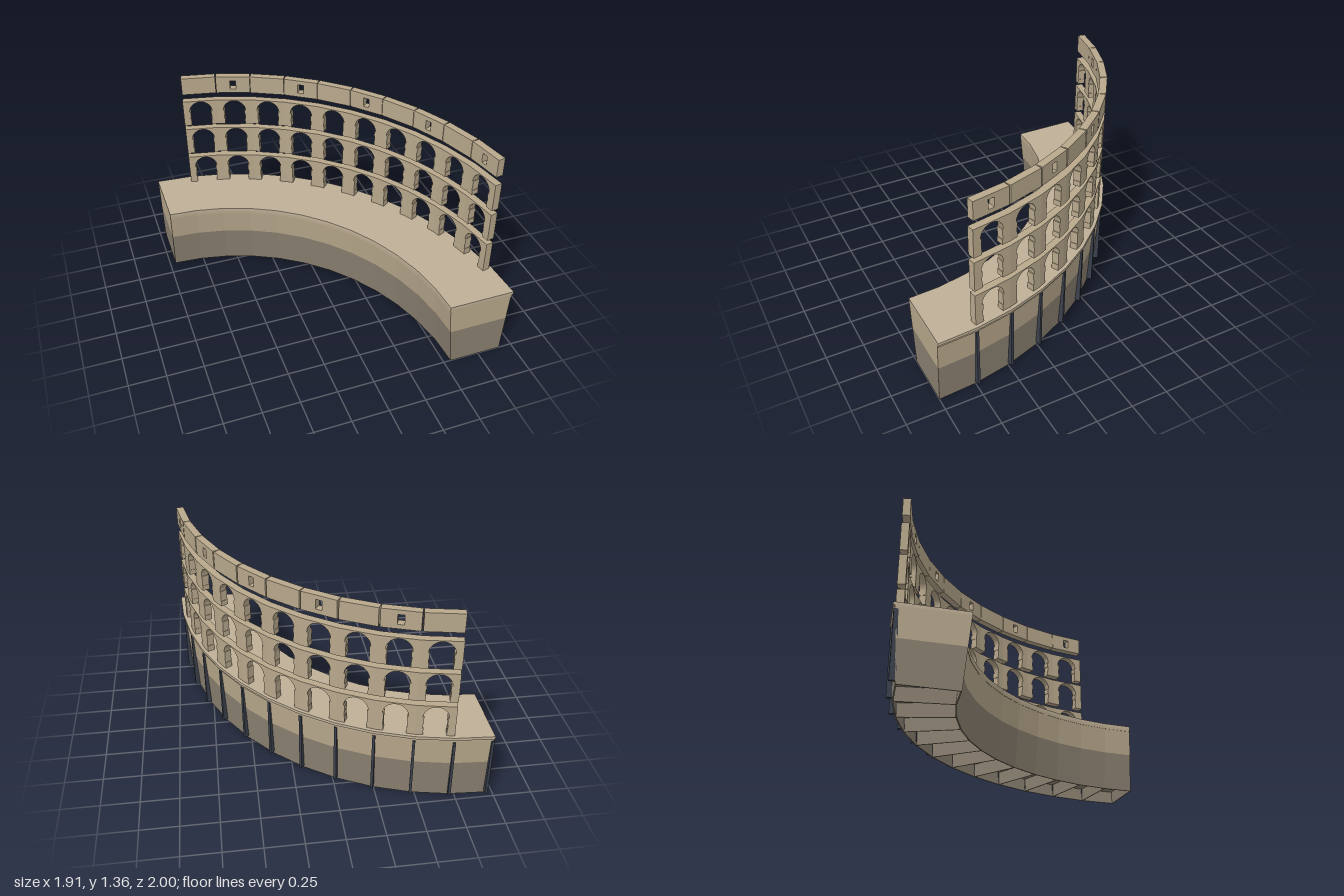
import * as THREE from 'three';

const STEP = Math.PI / 24;            // one bay: twelve bays fill the quarter
const CX = -0.96, CZ = 1, STRETCH = 0.09;

const mat = (color) => new THREE.MeshStandardMaterial({ color, flatShading: true, side: THREE.DoubleSide });
const stone = mat(0xb8a88c), darkStone = mat(0x8a8070), paleStone = mat(0xbfb097), iron = mat(0x3a404c);

// Point on the oval plan, angle 0 at the right end
const plan = (r, t, y) => [CX + r * Math.cos(t), y, CZ - (r + STRETCH) * Math.sin(t)];

// Sweep a counter-clockwise [radius, y] profile along the oval, with end caps
function sweep(profile, t0, t1, bays) {
  const pos = [];
  const quad = (a, b, c, d) => pos.push(...a, ...b, ...c, ...a, ...c, ...d);
  const at = (k, i) => plan(profile[k][0], t0 + (t1 - t0) * i / bays, profile[k][1]);
  for (let i = 0; i < bays; i++) {
    for (let k = 0; k < 4; k++) {
      const n = (k + 1) % 4;
      quad(at(k, i), at(k, i + 1), at(n, i + 1), at(n, i));
    }
  }
  quad(at(0, 0), at(1, 0), at(2, 0), at(3, 0));
  quad(at(3, bays), at(2, bays), at(1, bays), at(0, bays));
  const g = new THREE.BufferGeometry();
  g.setAttribute('position', new THREE.Float32BufferAttribute(pos, 3));
  g.computeVertexNormals();
  return g;
}

function add(parent, name, geometry, material) {
  const m = new THREE.Mesh(geometry, material);
  m.name = name;
  parent.add(m);
  return m;
}

// Group set on the outer chord of a bay: local x along it, local z inward
function bayFrame(parent, name, index, r) {
  const a = new THREE.Vector3(...plan(r, index * STEP, 0));
  const b = new THREE.Vector3(...plan(r, (index + 1) * STEP, 0));
  const dir = b.clone().sub(a);
  const g = new THREE.Group();
  g.name = name;
  g.position.copy(a).add(b).multiplyScalar(0.5);
  g.rotation.y = Math.atan2(dir.z, -dir.x) + Math.PI;
  // keep local z pointing to the centre of the oval
  const inward = new THREE.Vector3(CX, 0, CZ).sub(g.position);
  const zAxis = new THREE.Vector3(Math.sin(g.rotation.y), 0, Math.cos(g.rotation.y));
  if (zAxis.dot(inward) < 0) g.rotation.y += Math.PI;
  parent.add(g);
  return { g, length: dir.length() };
}

const DEPTH = 0.05, WALL_R = 1.887;
const extrude = (shape) => new THREE.ExtrudeGeometry(shape, { depth: DEPTH, bevelEnabled: false, curveSegments: 14 });

// One arch with a half pier of stacked blocks on each side
function archBay(parent, index, y0, spring, top) {
  const { g, length } = bayFrame(parent, 'archBay', index, WALL_R);
  const h = length / 2, R = 0.08;
  const s = new THREE.Shape();
  s.moveTo(-h, spring);
  s.lineTo(-R, spring);
  s.absarc(0, spring, R, Math.PI, 0, true);
  s.lineTo(h, spring);
  s.lineTo(h, top);
  s.lineTo(-h, top);
  s.closePath();
  add(g, 'arch', extrude(s), stone);
  const rows = 3, rowH = (spring - y0) / rows;
  for (const side of [-1, 1]) {
    for (let j = 0; j < rows; j++) {
      const w = h - 0.072 - (j % 2) * 0.003;
      const block = add(g, 'pierBlock', new THREE.BoxGeometry(w, rowH, DEPTH), stone);
      block.position.set(side * (h - w / 2), y0 + rowH * (j + 0.5), DEPTH / 2);
    }
  }
}

// One attic panel, every other one pierced by a window
function atticPanel(parent, index) {
  const { g, length } = bayFrame(parent, 'atticPanel', index, WALL_R);
  const h = length / 2 - 0.005;
  const s = new THREE.Shape();
  s.moveTo(-h, 1.235);
  s.lineTo(h, 1.235);
  s.lineTo(h, 1.36);
  s.lineTo(-h, 1.36);
  s.closePath();
  if (index % 2 === 1) {
    const w = new THREE.Path();
    w.moveTo(-0.021, 1.265);
    w.lineTo(-0.021, 1.33);
    w.lineTo(0.021, 1.33);
    w.lineTo(0.021, 1.265);
    w.closePath();
    s.holes.push(w);
  }
  add(g, 'panel', extrude(s), stone);
}

export function createModel() {
  const model = new THREE.Group();
  model.name = 'curvedArcade';
  const END = 12 * STEP, COURSE = 0.09;

  // Battered plinth: five courses, the lowest hollow and open below
  const plinth = new THREE.Group();
  plinth.name = 'plinth';
  model.add(plinth);
  const outer = (y) => 1.87 + 0.025 * y / 0.45;
  const inner = (y) => 1.51 - 0.045 * y / 0.45;
  for (let c = 1; c < 5; c++) {
    const y0 = c * COURSE, y1 = y0 + COURSE;
    const p = [[inner(y0), y0], [outer(y0), y0], [outer(y1), y1], [inner(y1), y1]];
    add(plinth, 'course', sweep(p, 0, END, 12), c < 3 ? darkStone : stone);
  }
  const o0 = outer(0), o1 = outer(COURSE), i0 = inner(0), i1 = inner(COURSE), T = 0.008;
  add(plinth, 'outerFooting', sweep([[o0 - T, 0], [o0, 0], [o1, COURSE], [o1 - T, COURSE]], 0, END, 12), darkStone);
  add(plinth, 'innerFooting', sweep([[i0, 0], [i0 + T, 0], [i1 + T, COURSE], [i1, COURSE]], 0, END, 12), darkStone);
  for (let k = 0; k <= 12; k++) {
    const t = THREE.MathUtils.clamp(k * STEP, 0.002, END - 0.002);
    const p = [[i0 + 0.002, 0], [o0 - 0.002, 0], [o1 - 0.002, COURSE], [i1 + 0.002, COURSE]];
    add(plinth, 'footingRib', sweep(p, t - 0.002, t + 0.002, 1), darkStone);
  }

  // Cornice slab
  add(model, 'cornice', sweep([[1.463, 0.45], [1.9, 0.45], [1.9, 0.47], [1.463, 0.47]], 0, END, 12), stone);
  add(model, 'corniceTop', sweep([[1.463, 0.47], [1.91, 0.47], [1.91, 0.49], [1.463, 0.49]], 0, END, 12), paleStone);

  // Slim upright struts on the outer face
  for (let k = 1; k <= 12; k++) {
    const t = Math.min(k * STEP, END - 0.0045);
    const p = [[1.86, 0.02], [1.905, 0.02], [1.905, 0.45], [1.88, 0.45]];
    add(model, 'strut', sweep(p, t - 0.0045, t + 0.0045, 1), iron);
  }

  // Three arcades and the attic, ten bays each
  for (const [y0, spring, top] of [[0.49, 0.622, 0.711], [0.745, 0.862, 0.95], [0.982, 1.09, 1.177]]) {
    const tier = new THREE.Group();
    tier.name = 'arcadeTier';
    model.add(tier);
    for (let i = 1; i <= 10; i++) archBay(tier, i, y0, spring, top);
  }
  const attic = new THREE.Group();
  attic.name = 'attic';
  model.add(attic);
  for (let i = 1; i <= 10; i++) atticPanel(attic, i);

  return model;
}
